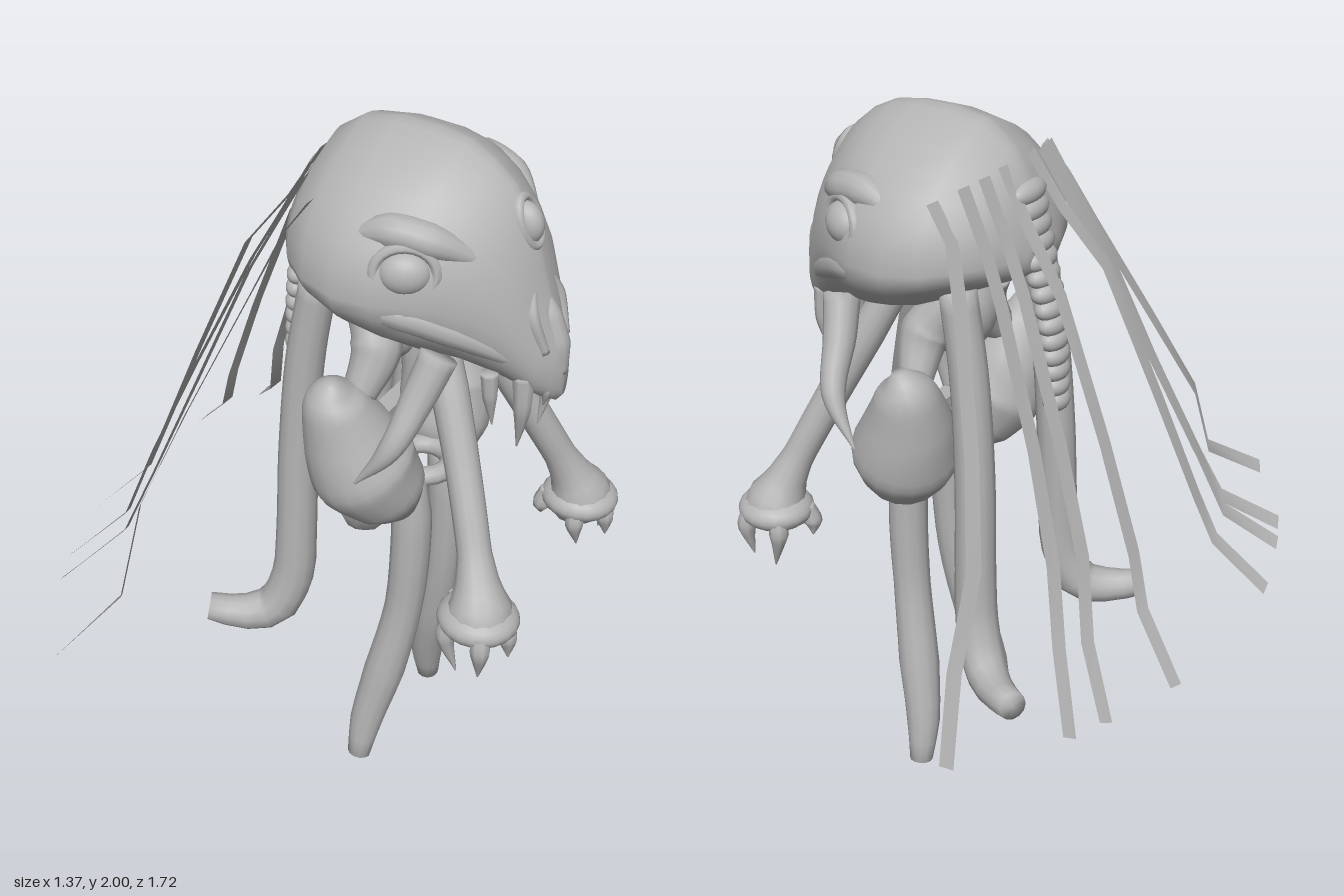
import * as THREE from 'three';

const bone = new THREE.MeshStandardMaterial({ color: 0xb4b4b4 });
bone.name = 'bone grey';
const strap = new THREE.MeshStandardMaterial({ color: 0xb4b4b4, side: THREE.DoubleSide });
strap.name = 'ribbon grey';

const V = (x, y, z) => new THREE.Vector3(x, y, z);

function add(parent, name, geometry, material = bone) {
  const mesh = new THREE.Mesh(geometry, material);
  mesh.name = name;
  parent.add(mesh);
  return mesh;
}

// Smooth closed skin over a list of equal rings
function loft(rings) {
  const n = rings[0].length, pos = [], index = [];
  rings.forEach((ring) => ring.forEach((p) => pos.push(p.x, p.y, p.z)));
  for (let i = 0; i < rings.length - 1; i++) {
    for (let j = 0; j < n; j++) {
      const a = i * n + j, b = i * n + (j + 1) % n;
      index.push(a, b, a + n, b, b + n, a + n);
    }
  }
  for (const [start, flip] of [[0, true], [(rings.length - 1) * n, false]]) {
    const ring = rings[start / n];
    const c = ring.reduce((s, p) => s.add(p), V(0, 0, 0)).divideScalar(n);
    const k = pos.length / 3;
    pos.push(c.x, c.y, c.z);
    for (let j = 0; j < n; j++) {
      const a = start + j, b = start + (j + 1) % n;
      index.push(k, flip ? b : a, flip ? a : b);
    }
  }
  const g = new THREE.BufferGeometry();
  g.setAttribute('position', new THREE.Float32BufferAttribute(pos, 3));
  g.setIndex(index);
  g.computeVertexNormals();
  return g;
}

// Tube through points [x, y, z, radius]; side mirrors z
function limb(points, side = 1, sides = 12, steps = 16) {
  const curve = new THREE.CatmullRomCurve3(points.map((p) => V(p[0], p[1], p[2] * side)));
  const { normals, binormals } = curve.computeFrenetFrames(steps);
  const rings = [];
  for (let i = 0; i <= steps; i++) {
    const t = curve.getUtoTmapping(i / steps), f = t * (points.length - 1);
    const k = Math.min(Math.floor(f), points.length - 2);
    const r = THREE.MathUtils.lerp(points[k][3], points[k + 1][3], f - k);
    const c = curve.getPoint(t);
    rings.push(Array.from({ length: sides }, (_, j) => {
      const a = (j / sides) * Math.PI * 2;
      return c.clone().addScaledVector(normals[i], Math.cos(a) * r).addScaledVector(binormals[i], Math.sin(a) * r);
    }));
  }
  return loft(rings);
}

// Skull cross-sections: x, top, bottom, half width, height of widest point
function skull() {
  const sections = [
    [-0.12, 1.73, 1.62, 0.08, 1.67], [-0.08, 1.85, 1.6, 0.18, 1.68], [-0.03, 1.93, 1.58, 0.25, 1.68],
    [0.05, 1.985, 1.54, 0.31, 1.67], [0.15, 2.0, 1.49, 0.335, 1.66], [0.25, 1.998, 1.455, 0.325, 1.66],
    [0.33, 1.985, 1.43, 0.29, 1.66], [0.4, 1.95, 1.42, 0.245, 1.65], [0.46, 1.9, 1.4, 0.2, 1.62],
    [0.51, 1.83, 1.38, 0.16, 1.58], [0.55, 1.71, 1.36, 0.125, 1.53], [0.585, 1.6, 1.345, 0.09, 1.47],
    [0.615, 1.53, 1.34, 0.05, 1.44], [0.63, 1.47, 1.36, 0.02, 1.42],
  ];
  // the crown is peaked and the jaw line rounded
  return loft(sections.map(([x, top, bottom, w, mid]) => Array.from({ length: 32 }, (_, j) => {
    const a = (j / 32) * Math.PI * 2, c = Math.cos(a), s = Math.sin(a);
    const z = Math.sign(s) * Math.pow(Math.abs(s), c > 0 ? 1.5 : 1.1) * w;
    return V(x, mid + c * (c > 0 ? top - mid : mid - bottom), z);
  })));
}

function ball(parent, name, [x, y, z], [sx, sy, sz]) {
  const mesh = add(parent, name, new THREE.SphereGeometry(1, 20, 14));
  mesh.position.set(x, y, z);
  mesh.scale.set(sx, sy, sz);
  return mesh;
}

// Eyeball in a low rim, facing the given direction
function eye(parent, name, position, direction, width, height) {
  const g = new THREE.Group();
  g.name = name;
  ball(g, 'eyeball', [0, 0, 0], [width, height, 0.045]);
  const rim = add(g, 'eyeRim', new THREE.TorusGeometry(1, 0.22, 8, 24));
  rim.scale.set(width * 1.15, height * 1.15, 0.1);
  g.position.copy(position);
  g.lookAt(position.clone().add(direction));
  parent.add(g);
}

// Flat strip through points, its width leaning between level and sideways
function ribbon(points, width) {
  const pos = [], index = [];
  points.forEach((p, i) => {
    const d = points[Math.min(i + 1, points.length - 1)].clone().sub(points[Math.max(i - 1, 0)]);
    const level = V(-d.z, 0, d.x).normalize(), sideways = V(0, -d.z, d.y).normalize();
    const w = level.multiplyScalar(0.7).add(sideways).setLength(width / 2);
    pos.push(p.x + w.x, p.y + w.y, p.z + w.z, p.x - w.x, p.y - w.y, p.z - w.z);
    if (i) index.push(2 * i - 2, 2 * i - 1, 2 * i, 2 * i - 1, 2 * i + 1, 2 * i);
  });
  const g = new THREE.BufferGeometry();
  g.setAttribute('position', new THREE.Float32BufferAttribute(pos, 3));
  g.setIndex(index);
  g.computeVertexNormals();
  return g;
}

export function createModel() {
  const model = new THREE.Group();
  model.name = 'creature';
  const body = new THREE.Group();
  body.name = 'body';
  body.position.z = -0.04;
  model.add(body);

  // Head with forehead eye
  add(body, 'skull', skull());
  eye(body, 'foreheadEye', V(0.495, 1.81, 0), V(1, 0.4, 0), 0.036, 0.055);
  add(body, 'snout', limb([[0.555, 1.64, 0, 0.01], [0.575, 1.58, 0, 0.03], [0.6, 1.5, 0, 0.035], [0.615, 1.42, 0, 0.02]]));

  // Torso, pelvis ring and crossbar
  ball(body, 'chest', [0.14, 1.43, 0], [0.09, 0.11, 0.12]);
  add(body, 'breastbone', limb([[0.18, 1.45, 0, 0.05], [0.2, 1.32, 0, 0.035], [0.18, 1.19, 0, 0.02]]));
  const bar = add(body, 'crossbar', new THREE.BoxGeometry(0.05, 0.035, 0.26));
  bar.position.set(0.16, 1.185, 0);
  const pelvis = add(body, 'pelvis', new THREE.TorusGeometry(0.075, 0.028, 10, 20));
  pelvis.position.set(0.235, 1.0, 0);
  pelvis.rotation.x = Math.PI / 2;

  // Segmented spine hanging behind the head
  const spine = new THREE.CatmullRomCurve3([V(-0.07, 1.82, 0), V(-0.11, 1.65, 0), V(-0.15, 1.48, 0), V(-0.165, 1.26, 0)]);
  for (let i = 0; i < 14; i++) {
    const p = spine.getPointAt(i / 13);
    ball(body, 'vertebra', [p.x, p.y, 0], [0.036, 0.034, 0.07 - i * 0.002]);
  }

  for (const s of [1, -1]) {
    // Face
    eye(body, 'sideEye', V(0.31, 1.74, s * 0.258), V(0.45, 0.15, s * 0.87), 0.066, 0.055);
    add(body, 'brow', limb([[0.14, 1.79, 0.26, 0.01], [0.25, 1.825, 0.235, 0.045], [0.35, 1.81, 0.205, 0.045], [0.47, 1.74, 0.12, 0.015]], s));
    add(body, 'cheekbone', limb([[0.1, 1.63, 0.29, 0.01], [0.28, 1.63, 0.265, 0.045], [0.4, 1.58, 0.2, 0.04], [0.55, 1.48, 0.085, 0.025]], s));
    add(body, 'nostrilRim', limb([[0.54, 1.67, 0.04, 0.012], [0.562, 1.6, 0.07, 0.018], [0.595, 1.5, 0.055, 0.014]], s, 8));

    // Teeth
    add(body, 'tusk', limb([[0.38, 1.5, 0.2, 0.05], [0.355, 1.4, 0.25, 0.045], [0.32, 1.27, 0.33, 0.032], [0.235, 1.15, 0.36, 0.003]], s));
    add(body, 'longFang', limb([[0.55, 1.43, 0.07, 0.03], [0.555, 1.33, 0.075, 0.024], [0.54, 1.2, 0.06, 0.002]], s, 8));
    add(body, 'shortFang', limb([[0.48, 1.44, 0.12, 0.024], [0.485, 1.37, 0.12, 0.02], [0.49, 1.28, 0.11, 0.002]], s, 8));
    add(body, 'frontTooth', limb([[0.59, 1.42, 0.03, 0.02], [0.6, 1.38, 0.035, 0.015], [0.59, 1.33, 0.03, 0.002]], s, 8));

    // Forward arm, flaring into a clawed hand
    add(body, 'arm', limb([[0.3, 1.5, 0.07, 0.045], [0.37, 1.35, 0.12, 0.05], [0.45, 1.17, 0.18, 0.046],
      [0.53, 0.98, 0.25, 0.045], [0.56, 0.9, 0.28, 0.06], [0.58, 0.835, 0.3, 0.095], [0.585, 0.79, 0.31, 0.085]], s, 14, 24));
    ball(body, 'palm', [0.58, 0.82, s * 0.305], [0.11, 0.055, 0.105]);
    const claws = [[0.5, 0.27, 0.48, 0.74], [0.53, 0.36, 0.55, 0.66], [0.6, 0.24, 0.61, 0.7],
      [0.62, 0.37, 0.62, 0.68], [0.65, 0.3, 0.67, 0.72]];
    for (const [x, z, tipX, tipY] of claws) {
      add(body, 'claw', limb([[x, 0.83, z, 0.025], [x + (x - 0.58) * 0.2, 0.78, z + (z - 0.31) * 0.2, 0.028], [tipX, tipY, z, 0.002]], s, 8, 10));
    }

    // Thigh, leg and rear limb
    add(body, 'thigh', limb([[0.13, 1.38, 0.29, 0.02], [0.12, 1.33, 0.28, 0.075], [0.14, 1.21, 0.245, 0.12], [0.175, 1.1, 0.215, 0.15],
      [0.22, 1.0, 0.165, 0.115], [0.245, 0.93, 0.13, 0.05]], s, 18, 24));
    add(body, 'leg', limb([[0.245, 1.02, 0.1, 0.045], [0.26, 0.9, 0.1, 0.056], [0.262, 0.75, 0.105, 0.056], [0.25, 0.56, 0.113, 0.054],
      [0.21, 0.32, 0.145, 0.06], [0.175, 0.14, 0.18, 0.05], [0.165, 0.01, 0.21, 0.034]], s));
    add(body, 'rearLimb', limb([[0.02, 1.6, 0.18, 0.05], [-0.02, 1.35, 0.19, 0.052], [-0.04, 1.05, 0.2, 0.055], [-0.045, 0.78, 0.21, 0.057],
      [-0.055, 0.62, 0.22, 0.06], [-0.1, 0.505, 0.25, 0.062], [-0.17, 0.483, 0.3, 0.052], [-0.26, 0.5, 0.35, 0.04]], s, 12, 24));
    add(body, 'shoulder', limb([[0.1, 1.52, 0.1, 0.05], [0.16, 1.42, 0.13, 0.07], [0.15, 1.3, 0.2, 0.045]], s));

    // Trailing ribbons, rooted on the back of the skull
    const strands = [
      [[0.04, 1.85, 0.25], [-0.02, 1.76, 0.265], [-0.075, 1.61, 0.32], [-0.19, 1.29, 0.455], [-0.265, 1.04, 0.57], [-0.272, 0.8, 0.67], [-0.37, 0.67, 0.845]],
      [[-0.01, 1.88, 0.19], [-0.08, 1.74, 0.21], [-0.14, 1.61, 0.24], [-0.27, 1.27, 0.3], [-0.37, 0.99, 0.37], [-0.435, 0.8, 0.44], [-0.56, 0.67, 0.585]],
      [[-0.03, 1.89, 0.13], [-0.1, 1.75, 0.15], [-0.17, 1.61, 0.18], [-0.32, 1.26, 0.25], [-0.42, 1.0, 0.31], [-0.48, 0.8, 0.375], [-0.605, 0.67, 0.485]],
      [[-0.04, 1.9, 0.06], [-0.12, 1.76, 0.08], [-0.23, 1.61, 0.11], [-0.38, 1.25, 0.14], [-0.49, 0.96, 0.17], [-0.54, 0.82, 0.2], [-0.68, 0.67, 0.26]],
    ];
    for (const strand of strands) {
      const path = strand.map(([x, y, z], i) => V(x, y, z * s - Math.max(0, 0.04 - i * 0.01)));
      add(model, 'ribbon', ribbon(path, 0.045), strap);
    }
  }
  return model;
}
